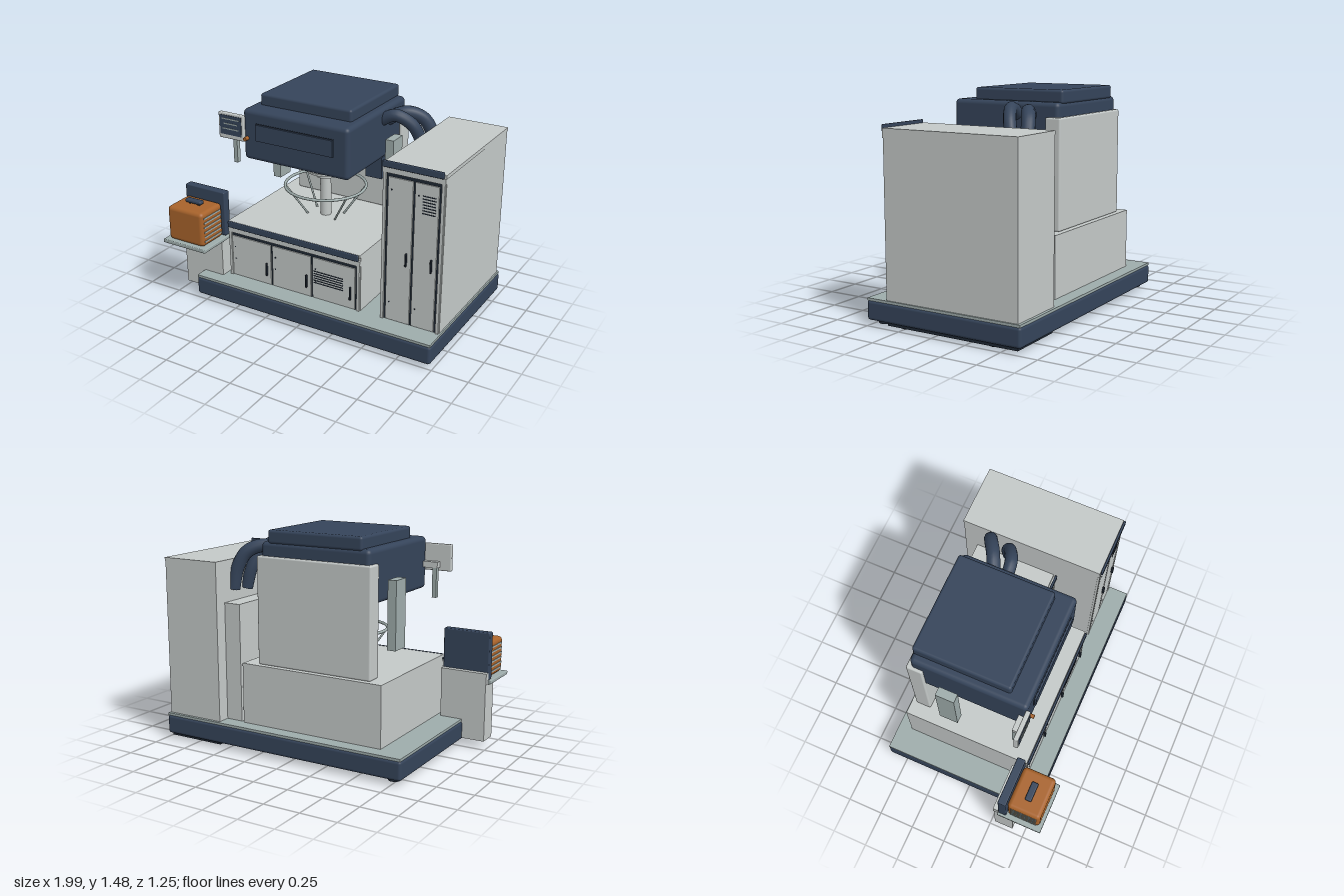
import * as THREE from 'three';
import { RoundedBoxGeometry } from 'three/addons/geometries/RoundedBoxGeometry.js';

const mat = (name, color) => {
  const m = new THREE.MeshStandardMaterial({ color });
  m.name = name;
  return m;
};

export function createModel() {
  const light = mat('light grey', 0xc4c9c8);
  const navy = mat('navy', 0x35445a);
  const sage = mat('grey green', 0x9eacab);
  const orange = mat('orange', 0xa8632b);
  const dark = mat('dark trim', 0x1f2834);
  const model = new THREE.Group();

  const add = (name, geometry, material, parent = model) => {
    const mesh = new THREE.Mesh(geometry, material);
    mesh.name = name;
    parent.add(mesh);
    return mesh;
  };
  // Box given by its limits, rounded when r > 0
  const box = (name, material, [x0, x1], [y0, y1], [z0, z1], r = 0, parent = model) => {
    const s = [x1 - x0, y1 - y0, z1 - z0];
    const g = r ? new RoundedBoxGeometry(...s, 3, r) : new THREE.BoxGeometry(...s);
    g.translate((x0 + x1) / 2, (y0 + y1) / 2, (z0 + z1) / 2);
    return add(name, g, material, parent);
  };
  const disc = (name, material, x, z, rTop, rBottom, y0, y1, n = 40) => {
    const g = new THREE.CylinderGeometry(rTop, rBottom, y1 - y0, n);
    g.translate(x, (y0 + y1) / 2, z);
    return add(name, g, material);
  };

  // Base with deck, bottom panels and feet
  box('base', navy, [-0.82, 0.99], [0.035, 0.165], [-0.63, 0.51], 0.02);
  box('deck', sage, [-0.815, 0.985], [0.163, 0.18], [-0.625, 0.505]);
  box('machinePlinth', dark, [-0.63, 0.41], [0.018, 0.05], [-0.53, 0.37]);
  box('machineBottomPlate', sage, [-0.6, 0.38], [0.012, 0.018], [-0.51, 0.35]);
  box('towerPlinth', dark, [0.56, 0.97], [0.016, 0.05], [-0.6, 0.355]);
  box('sidePlinth', dark, [0.435, 0.55], [0.018, 0.05], [-0.515, 0.06]);
  for (const x of [-0.74, 0.91])
    for (const z of [-0.55, 0.425]) disc('baseFoot', dark, x, z, 0.04, 0.04, 0.012, 0.04, 20);
  for (const [x0, x1] of [[-0.53, 0.3], [0.64, 0.89]])
    for (const x of [x0, x1])
      for (const z of [-0.4, 0.26])
        for (const d of [-0.025, 0.025]) disc('levellingFoot', dark, x + d, z, 0.022, 0.022, 0, 0.02, 14);

  // Cabinet: body, frame, header, door leaves, hinges and a handle for each door
  function cabinet(name, [x0, x1], top, [z0, z1], doors, [h0, h1]) {
    const g = new THREE.Group();
    g.name = name;
    model.add(g);
    const f = z1 - 0.012;
    box('body', light, [x0, x1], [0.18, top], [z0, f], 0, g);
    box('topRail', navy, [x0 + 0.005, x1 - 0.008], [top - 0.022, top + 0.022], [z1 + 0.002, z1 + 0.018], 0.006, g);
    box('header', light, [x0, x1], [top - 0.06, top - 0.025], [f, z1 + 0.004], 0, g);
    box('headerGap', dark, [x0 + 0.03, x1 - 0.03], [top - 0.085, top - 0.06], [f, f + 0.004], 0, g);
    for (const x of [x0 + 0.004, x1 - 0.024])
      box('post', light, [x, x + 0.02], [0.18, top - 0.06], [f, z1 + 0.002], 0, g);
    box('doorShadowGap', dark, [x0 + 0.024, x1 - 0.024], [0.18, top - 0.06], [f, f + 0.003], 0, g);
    doors.forEach(([a, b]) => {
      box('door', light, [a, b], [0.185, top - 0.085], [f, z1], 0, g);
      box('handle', dark, [b - 0.035, b - 0.024], [h0, h1], [z1, z1 + 0.018], 0.004, g);
      for (const y of [0.31, top - 0.17])
        box('lockStud', dark, [a + 0.02, a + 0.028], [y, y + 0.008], [z1, z1 + 0.004], 0, g);
    });
    return g;
  }
  const vents = (parent, [x0, x1], [y0, y1], z, n) => {
    for (let i = 0; i < n; i++) {
      const y = y0 + ((y1 - y0) * i) / (n - 1);
      box('ventSlot', dark, [x0, x1], [y - 0.003, y + 0.003], [z, z + 0.003], 0, parent);
    }
  };
  const low = cabinet('machineCabinet', [-0.63, 0.41], 0.57, [-0.53, 0.367],
    [[-0.6, -0.285], [-0.27, 0.035], [0.05, 0.372]], [0.25, 0.345]);
  box('tableTop', light, [-0.63, 0.41], [0.57, 0.59], [-0.53, 0.367], 0, low);
  vents(low, [0.06, 0.285], [0.3, 0.385], 0.367, 6);
  const tower = cabinet('towerCabinet', [0.555, 0.975], 1.262, [-0.605, 0.36],
    [[0.595, 0.763], [0.778, 0.935]], [0.6, 0.69]);
  box('towerRoof', light, [0.553, 0.978], [1.238, 1.262], [-0.608, 0.36], 0, tower);
  vents(tower, [0.83, 0.918], [0.985, 1.1], 0.36, 7);
  cabinet('sideCabinet', [0.435, 0.555], 0.98, [-0.518, 0.06], [[0.46, 0.53]], [0.58, 0.68]);

  // Rear column and side panels
  box('rearColumn', light, [-0.535, 0.305], [0.59, 1.31], [-0.5, -0.39], 0.012);
  for (const x of [-0.595, 0.305]) box('sidePanel', sage, [x, x + 0.06], [0.745, 1.195], [-0.28, -0.15]);

  // Head with lid and front panel
  box('head', navy, [-0.515, 0.285], [1.053, 1.403], [-0.478, 0.31], 0.03);
  box('headLid', navy, [-0.46, 0.232], [1.39, 1.48], [-0.478, 0.18], 0.018);
  box('frontPanelSeam', dark, [-0.412, 0.18], [1.196, 1.318], [0.308, 0.313]);
  box('frontPanel', navy, [-0.407, 0.175], [1.201, 1.313], [0.31, 0.325]);

  // Spindle under the head
  const cx = -0.115, cz = -0.08;
  disc('headFlange', light, cx, cz, 0.315, 0.315, 1.035, 1.056);
  disc('headTaper', sage, cx, cz, 0.27, 0.24, 1.012, 1.035);
  disc('spindleNeck', light, cx, cz, 0.14, 0.14, 1.0, 1.012);
  disc('spindleBody', navy, cx, cz, 0.12, 0.12, 0.93, 1.0);
  disc('spindleCollar', light, cx, cz, 0.13, 0.13, 0.918, 0.932);
  disc('spindleNose', light, cx, cz, 0.068, 0.068, 0.878, 0.918);
  disc('spindleShaft', light, cx, cz, 0.038, 0.038, 0.59, 0.878, 24);

  // Guard ring on slanted legs
  const ring = new THREE.TorusGeometry(0.28, 0.01, 10, 56);
  ring.rotateX(Math.PI / 2);
  add('guardRing', ring, sage).position.set(cx, 0.81, cz);
  for (const deg of [30, 150, 210, 330]) {
    const c = Math.cos((deg * Math.PI) / 180), s = Math.sin((deg * Math.PI) / 180);
    const leg = new THREE.LineCurve3(
      new THREE.Vector3(cx + 0.28 * c, 0.805, cz + 0.28 * s),
      new THREE.Vector3(cx + 0.125 * c, 0.59, cz + 0.125 * s));
    add('ringLeg', new THREE.TubeGeometry(leg, 1, 0.007, 8), sage);
  }

  const tube = (name, material, r, pts) => {
    const path = new THREE.CatmullRomCurve3(pts.map((p) => new THREE.Vector3(...p)));
    return add(name, new THREE.TubeGeometry(path, 28, r, 14), material);
  };
  // Control box on the column and its cable
  box('junctionBox', navy, [0.055, 0.18], [0.815, 0.975], [-0.39, -0.34]);
  tube('boxCable', sage, 0.006, [[0.13, 0.97, -0.36], [0.14, 1.01, -0.36], [0.18, 1.06, -0.36]]);

  // Hoses from head to cabinets
  tube('frontHose', navy, 0.042,
    [[0.26, 1.32, -0.17], [0.36, 1.365, -0.18], [0.46, 1.3, -0.23], [0.51, 1.18, -0.27], [0.545, 1.05, -0.28]]);
  tube('rearHose', navy, 0.045,
    [[0.26, 1.3, -0.26], [0.37, 1.35, -0.31], [0.47, 1.31, -0.37], [0.53, 1.2, -0.4], [0.56, 1.06, -0.41]]);

  // Operator screen on its post
  box('screenPost', sage, [-0.615, -0.585], [1.0, 1.2], [0.255, 0.287]);
  box('screenBracket', light, [-0.62, -0.5], [1.2, 1.24], [0.255, 0.31]);
  box('screenCase', light, [-0.7, -0.5], [1.177, 1.357], [0.298, 0.328], 0.008);
  box('screenGlass', navy, [-0.685, -0.515], [1.208, 1.342], [0.328, 0.332]);
  [[1.318, 0.07], [1.285, 0.055], [1.25, 0.065]].forEach(([y, w]) =>
    box('screenLine', sage, [-0.6 - w, -0.6 + w], [y - 0.004, y + 0.004], [0.332, 0.335]));
  const button = new THREE.CylinderGeometry(0.013, 0.013, 0.04, 16);
  button.rotateX(Math.PI / 2);
  add('stopButton', button, orange).position.set(-0.48, 1.205, 0.325);

  // Side stand with shelf and back panel
  box('standBody', light, [-0.98, -0.658], [0.048, 0.442], [0.28, 0.415]);
  box('standBackPlate', light, [-0.985, -0.658], [0.442, 0.52], [0.275, 0.312]);
  box('shelf', sage, [-1, -0.645], [0.44, 0.466], [0.31, 0.625], 0.006);
  box('standBackPanel', navy, [-0.985, -0.655], [0.466, 0.79], [0.312, 0.37], 0.008);

  // Orange portable unit with louvred sides
  box('portableUnit', orange, [-0.967, -0.673], [0.466, 0.715], [0.37, 0.602], 0.028);
  for (const x of [-0.97, -0.675])
    for (let i = 0; i < 6; i++) {
      const y = 0.503 + i * 0.034;
      box('sideLouvre', sage, [x, x + 0.005], [y - 0.006, y + 0.006], [0.395, 0.578]);
    }
  box('carryHandle', navy, [-0.885, -0.755], [0.725, 0.75], [0.46, 0.506], 0.01);
  for (const x of [-0.865, -0.79]) box('handlePost', dark, [x, x + 0.015], [0.71, 0.73], [0.475, 0.49]);

  return model;
}
